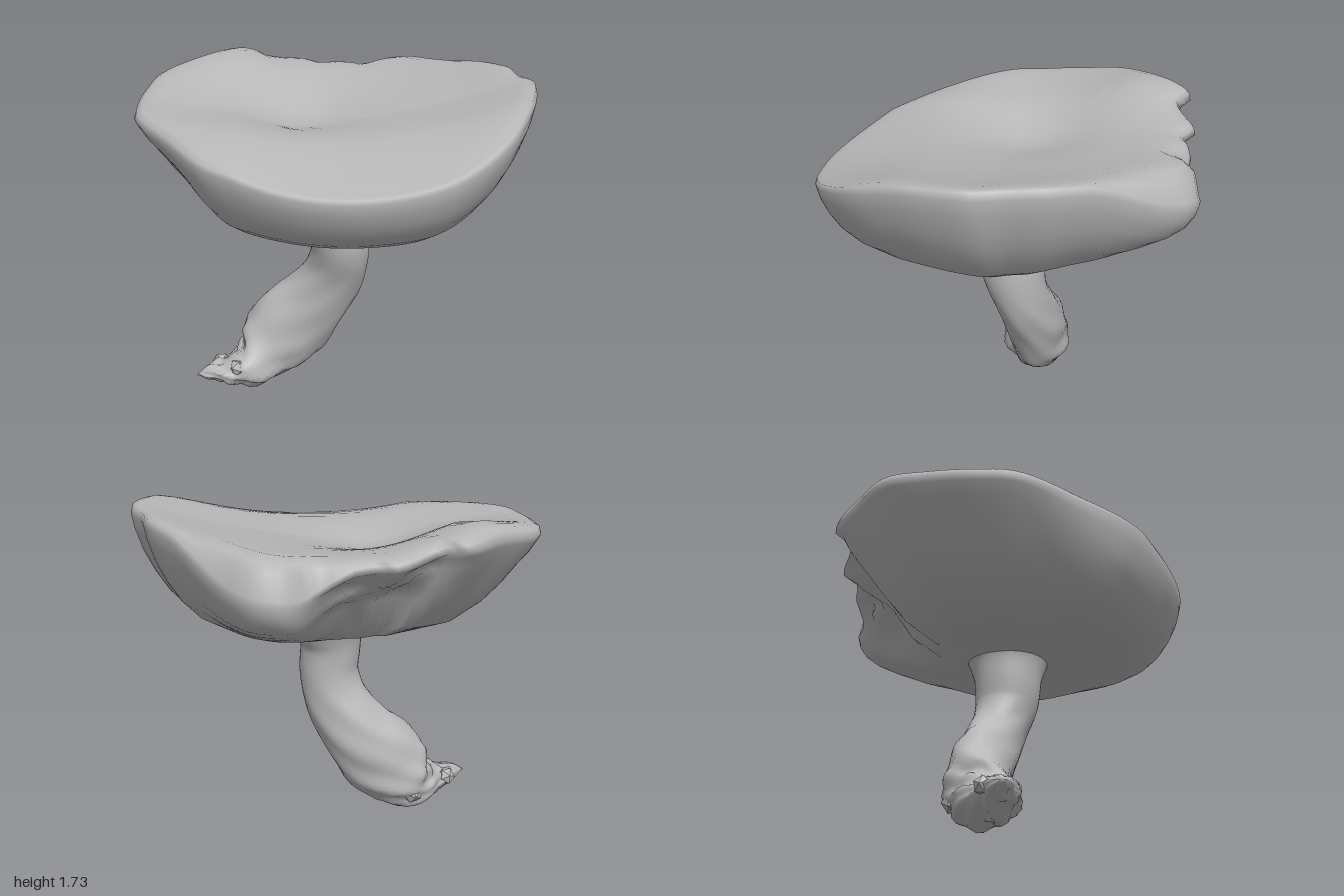
import * as THREE from 'three';
import { mergeVertices } from 'three/addons/utils/BufferGeometryUtils.js';

const { smoothstep, lerp } = THREE.MathUtils;

// Skin a list of closed rings (top to bottom, each running +x towards +z)
function loft(rings) {
  const n = rings[0].length, pos = [], idx = [];
  rings.forEach(r => r.forEach(p => pos.push(p.x, p.y, p.z)));
  for (let i = 0; i < rings.length - 1; i++) {
    for (let j = 0; j < n; j++) {
      const k = (j + 1) % n, a = i * n, b = a + n;
      idx.push(a + j, a + k, b + j, a + k, b + k, b + j);
    }
  }
  const g = new THREE.BufferGeometry();
  g.setAttribute('position', new THREE.Float32BufferAttribute(pos, 3));
  g.setIndex(idx);
  const merged = mergeVertices(g, 1e-5);
  merged.computeVertexNormals();
  return merged;
}

// Repeatable roughness in -1..1
const rough = (a, b) => Math.sin(a * 6.1 + b * 2.7) * Math.cos(a * 2.3 - b * 4.9);

// Cap outline seen from above: x, z
const OUTLINE = [
  [1, 0], [0.97, 0.2], [0.9, 0.4], [0.77, 0.63], [0.5, 0.86], [0.15, 0.935], [-0.1, 0.92],
  [-0.35, 0.84], [-0.6, 0.69], [-0.8, 0.43], [-0.97, 0.18], [-1, 0], [-0.98, -0.25],
  [-0.92, -0.48], [-0.7, -0.68], [-0.48, -0.85], [-0.4, -0.79], [-0.16, -0.89],
  [-0.08, -0.84], [0.07, -0.88], [0.2, -0.87], [0.35, -0.94], [0.48, -0.915],
  [0.6, -0.79], [0.77, -0.56], [0.92, -0.3], [0.95, -0.13],
];

const hump = (x, z, cx, cz, spread) => Math.exp(-((x - cx) ** 2 + (z - cz) ** 2) / spread);

// Upper surface: raised sides and back, a hollow behind the middle, falling to the front
function topHeight(x, z) {
  return 1.54 + 0.2 * x * x + 0.11 * Math.max(0, -z)
    - 0.1 * smoothstep(z, 0.3, 0.95)
    - 0.22 * Math.max(0, -x - 0.5)
    + 0.07 * hump(x, z, -0.55, -0.6, 0.1)
    - 0.08 * hump(x, z, -0.2, -0.12, 0.1);
}

// Strength of the rounded lobe, the broken stretch on the back rim, and the steep flank
const lobe = p => smoothstep(-p.z, 0.45, 0.9) * smoothstep(p.x, 0, 0.3);
const bite = p => (p.z < -0.5 ? Math.exp(-(((p.x + 0.13) / 0.34) ** 4)) : 0);
const flank = p => Math.max(smoothstep(-p.x - 0.4 * p.z, 0.3, 0.9), 0.3 * smoothstep(p.x, 0.5, 0.9));

// Wall and underside: outline fraction, height fraction, extra height on the flanks
const UNDER = [
  [0.99, 1.06, 0], [1, 1, 0], [0.985, 0.84, 0.11], [0.95, 0.64, 0.2], [0.9, 0.45, 0.27],
  [0.83, 0.28, 0.25], [0.74, 0.15, 0.18], [0.6, 0.06, 0.06], [0.42, 0.01, 0.01],
  [0.2, 0, 0], [0, 0, 0],
];

function capGeometry() {
  const curve = new THREE.CatmullRomCurve3(
    OUTLINE.map(([x, z]) => new THREE.Vector3(x, 0, z)), true, 'centripetal');
  const edge = curve.getSpacedPoints(120).slice(0, 120);
  const rings = [];

  // Upper surface, out to the rounded lip
  for (const s of [0, 0.12, 0.25, 0.38, 0.5, 0.62, 0.73, 0.83, 0.91, 0.96]) {
    rings.push(edge.map(p => {
      const x = p.x * s, z = p.z * s;
      const lip = (0.015 + 0.05 * lobe(p)) * Math.max(0, (s - 0.83) / 0.13) ** 2;
      return new THREE.Vector3(x, topHeight(x, z) - lip, z);
    }));
  }
  UNDER.forEach(([s, f0, extra], i) => {
    rings.push(edge.map((p, j) => {
      const f = f0 + extra * flank(p);
      const rimY = topHeight(p.x, p.z) - 0.07 + 0.03 * smoothstep(p.z, 0.4, 0.9) - 0.14 * lobe(p);
      const b = i > 1 ? bite(p) * smoothstep(s, 0.5, 0.8) : 0;
      const k = s - b * (0.09 + 0.04 * rough(j * 0.18, i));
      const x = p.x * k, z = p.z * k;
      const lift = z < 0 ? 0.32 * z * z * Math.max(0, 1 - f) ** 2 : 0;
      const y = 1.05 + lift + (rimY - 1.05) * f;
      // The broken stretch is hollowed up towards the upper skin
      return new THREE.Vector3(x, lerp(y, Math.max(y, topHeight(x, z) - 0.1), b * 0.5), z);
    }));
  });
  return loft(rings);
}

// Stem sections: centre x, y, z, half width across the bend, half depth, roughness
const STEM = [
  [0.03, 1.1, 0, 0.21, 0.23, 0], [0.025, 1.04, 0, 0.185, 0.205, 0],
  [0.015, 0.95, 0, 0.158, 0.178, 0], [0.025, 0.8, -0.01, 0.155, 0.165, 0],
  [-0.01, 0.65, -0.05, 0.165, 0.15, 0.004], [-0.11, 0.48, -0.09, 0.19, 0.15, 0.006],
  [-0.24, 0.33, -0.1, 0.225, 0.15, 0.008], [-0.34, 0.22, -0.1, 0.2, 0.16, 0.012],
  [-0.43, 0.145, -0.06, 0.15, 0.175, 0.02], [-0.52, 0.115, -0.01, 0.095, 0.15, 0.025],
  [-0.6, 0.115, 0.03, 0.055, 0.1, 0.02], [-0.68, 0.115, 0.06, 0.04, 0.06, 0.01],
  [-0.755, 0.11, 0.09, 0, 0, 0],
];

function stemGeometry() {
  const sides = 32, steps = 48;
  const path = new THREE.CatmullRomCurve3(STEM.map(([x, y, z]) => new THREE.Vector3(x, y, z)));
  const size = new THREE.CatmullRomCurve3(STEM.map(s => new THREE.Vector3(s[3], s[4], s[5])));
  const rings = [];
  for (let i = 0; i <= steps; i++) {
    const t = i / steps, c = path.getPoint(t), d = path.getTangent(t), r = size.getPoint(t);
    const len = Math.hypot(d.x, d.y);
    const ux = -d.y / len, uy = d.x / len;
    rings.push(Array.from({ length: sides }, (_, j) => {
      const a = j / sides * Math.PI * 2;
      const w = r.z * rough(Math.cos(a) + i * 0.11, Math.sin(a) + i * 0.07);
      const u = Math.cos(a) * (r.x + w), v = Math.sin(a) * (r.y + w);
      return new THREE.Vector3(c.x + ux * u, Math.max(0, c.y + uy * u), c.z + v);
    }));
  }
  return loft(rings);
}

// Small torn crumbs of root around the stem foot: x, y, z, radius
const CRUMBS = [
  [-0.45, 0.05, 0, 0.05], [-0.4, 0.14, -0.2, 0.06], [-0.53, 0.15, 0.09, 0.05],
  [-0.63, 0.13, -0.02, 0.05], [-0.36, 0.07, -0.1, 0.05],
];

export function createModel() {
  const flesh = new THREE.MeshStandardMaterial({ color: 0xb8b8b8 });
  flesh.name = 'grey flesh';
  const group = new THREE.Group();
  group.name = 'mushroom';
  const add = (name, geometry) => {
    const mesh = new THREE.Mesh(geometry, flesh);
    mesh.name = name;
    group.add(mesh);
    return mesh;
  };
  add('cap', capGeometry());
  add('stem', stemGeometry());
  CRUMBS.forEach(([x, y, z, r], i) => {
    const crumb = add('rootCrumb', new THREE.IcosahedronGeometry(r, 0));
    crumb.position.set(x, y, z);
    crumb.rotation.set(i, i * 2, 0);
  });
  return group;
}
